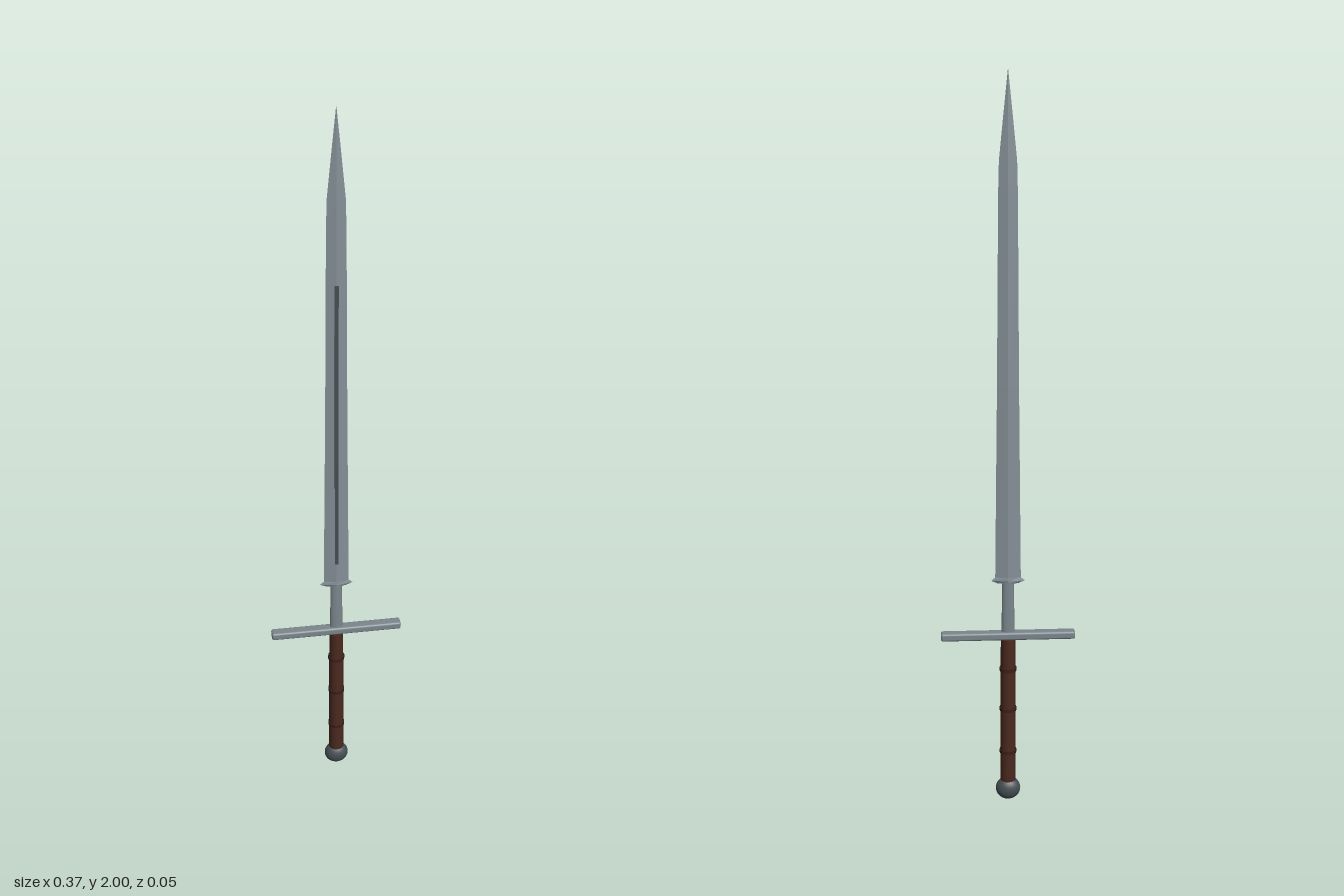
import * as THREE from 'three';
import { RoundedBoxGeometry } from 'three/addons/geometries/RoundedBoxGeometry.js';

const mat = (color, extra = {}) => new THREE.MeshStandardMaterial({ color, ...extra });

// Closed loft of diamond cross-sections; each section is [y, halfWidth, halfDepth]
function diamondLoft(sections) {
  const pos = [], idx = [];
  for (const [y, w, d] of sections) pos.push(w, y, 0, 0, y, d, -w, y, 0, 0, y, -d);
  for (let s = 0; s < sections.length - 1; s++) {
    for (let i = 0; i < 4; i++) {
      const a = s * 4 + i, b = s * 4 + (i + 1) % 4;
      idx.push(a, a + 4, b, b, a + 4, b + 4);
    }
  }
  const t = (sections.length - 1) * 4;
  idx.push(0, 1, 2, 0, 2, 3, t, t + 2, t + 1, t, t + 3, t + 2);
  const g = new THREE.BufferGeometry();
  g.setAttribute('position', new THREE.Float32BufferAttribute(pos, 3));
  g.setIndex(idx);
  const flat = g.toNonIndexed();
  flat.computeVertexNormals();
  return flat;
}

export function createModel() {
  const sword = new THREE.Group();
  sword.name = 'sword';
  const steel = mat(0x859097, { flatShading: true });
  const guardSteel = mat(0x7b868c);
  const dark = mat(0x454e53);
  const leather = mat(0x4a2a1f);
  const bandLeather = mat(0x3a2018);

  function add(name, geometry, material, x = 0, y = 0, z = 0) {
    const mesh = new THREE.Mesh(geometry, material);
    mesh.name = name;
    mesh.position.set(x, y, z);
    sword.add(mesh);
    return mesh;
  }

  // Tapered diamond blade
  add('blade', diamondLoft([
    [0.66, 0.035, 0.008], [1.2, 0.029, 0.007], [1.7, 0.025, 0.006],
    [1.78, 0.023, 0.005], [1.9, 0.011, 0.003], [2.0, 0.0005, 0.0005],
  ]), steel);

  // Small pointed lugs flaring out at the blade base
  add('bladeCollar', diamondLoft([
    [0.652, 0.028, 0.008], [0.66, 0.046, 0.009], [0.67, 0.034, 0.008],
  ]), steel);

  // Dark groove strip on the front face
  add('fuller', new THREE.BoxGeometry(0.01, 0.83, 0.003), dark, 0, 1.145, 0.0065);

  // Narrow neck between guard and blade
  add('ricasso', new THREE.CylinderGeometry(0.016, 0.018, 0.16, 12), guardSteel, 0, 0.585, 0)
    .scale.z = 0.5;

  // Straight crossguard
  add('crossguard', new RoundedBoxGeometry(0.37, 0.022, 0.03, 3, 0.006), guardSteel, 0, 0.5, 0);

  // Leather grip with raised bands
  add('grip', new THREE.CylinderGeometry(0.02, 0.022, 0.43, 16), leather, 0, 0.275, 0);
  for (const y of [0.15, 0.28, 0.4]) {
    add('gripBand', new THREE.CylinderGeometry(0.0235, 0.0235, 0.01, 16), bandLeather, 0, y, 0);
  }

  // Flattened round pommel
  add('pommel', new THREE.SphereGeometry(1, 24, 16), dark, 0, 0.033, 0).scale.set(0.035, 0.033, 0.027);

  return sword;
}
